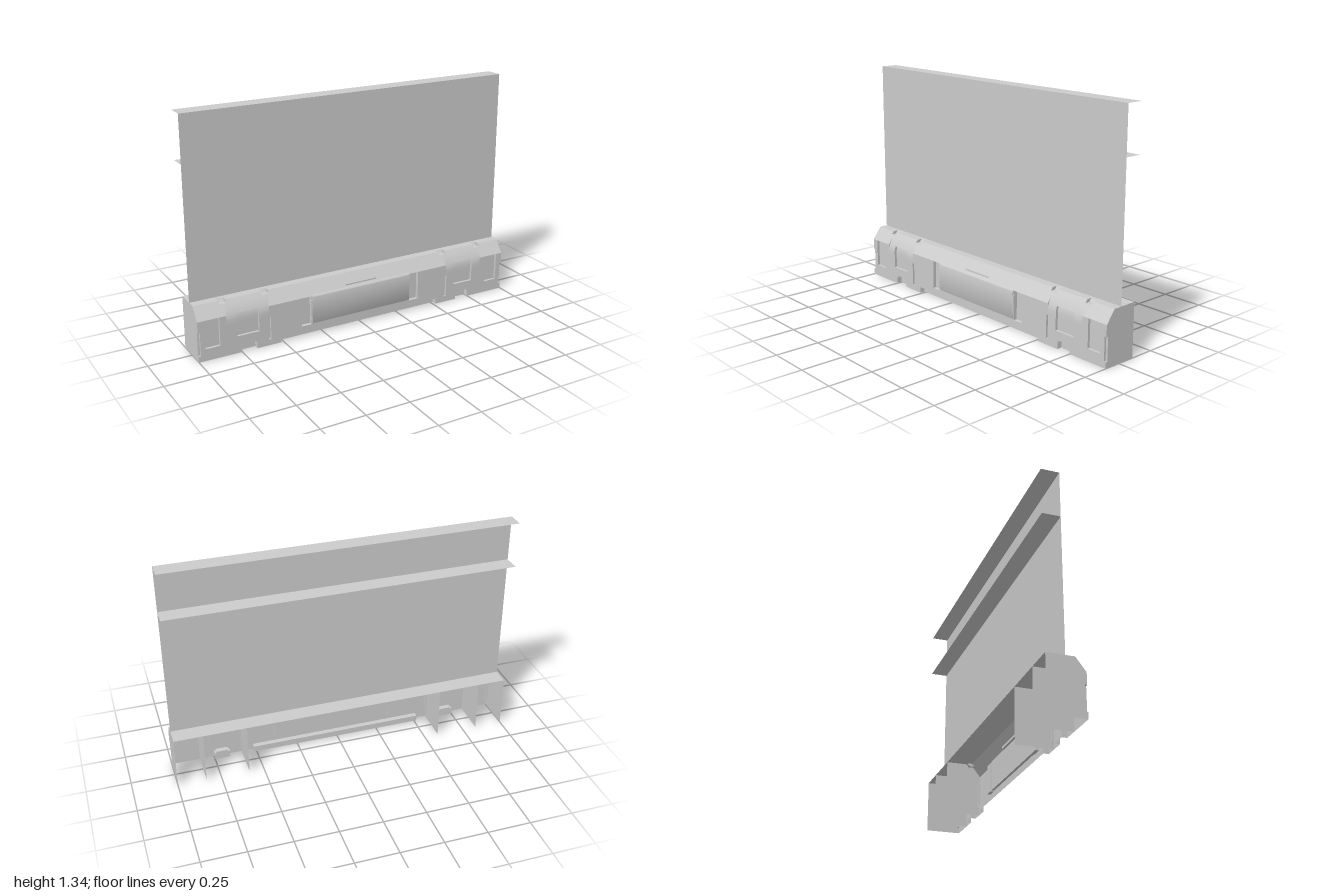
import * as THREE from 'three';
import { toCreasedNormals } from 'three/addons/utils/BufferGeometryUtils.js';

const TOP = 0.307, BACK = -0.105, FRONT = 0.1, WALL = -0.005;
const mat = new THREE.MeshStandardMaterial({ color: 0xcccccc, side: THREE.DoubleSide });

// Insets in the front shell, mirrored in x: [x0, x1, y0, y1, depth]
const insets = [
  [0, 0.515, 0, 0.035, 0.03],          // long kick recess
  [0.66, 0.75, 0, 0.04, 0.03],         // foot notch
  [0.67, 0.74, 0.04, 0.05, 0.03],
  [0.325, 0.385, 0.065, 0.235, 0.02],  // strips beside the hatch
  [0.645, 0.775, 0.1, 0.235, 0.015],   // windows
  [0.875, 0.96, 0.07, 0.235, 0.015],
  [0.575, 0.59, 0.035, 0.17, 0.012],   // thin slots
  [0.988, 1, 0.035, 0.17, 0.012],
  [0.565, 0.605, 0.29, TOP, 0.03],     // clip notches on the top edge
  [0.815, 0.855, 0.29, TOP, 0.03],
];
const BAY = [0.585, 0.835];

function depthAt(x, y) {
  const a = Math.abs(x);
  const hit = insets.find(([x0, x1, y0, y1]) => a > x0 && a < x1 && y > y0 && y < y1);
  return hit ? hit[4] : 0;
}

// Front profile: chamfered, but rounded in the two bays
function frontZ(x, y) {
  const a = Math.abs(x);
  if (a > BAY[0] && a < BAY[1]) return FRONT - 0.055 * Math.pow(Math.max(0, (y - 0.2) / (TOP - 0.2)), 1.7);
  return FRONT - 0.055 * Math.max(0, (y - 0.235) / (TOP - 0.235));
}

// Shell as a grid of cells; neighbouring cells of unequal depth are joined by walls
function shellGeometry() {
  const half = [0, 1, ...BAY, ...insets.flatMap(i => [i[0], i[1]])];
  const xs = [...new Set(half.flatMap(v => [v, v === 0 ? 0 : -v]))].sort((a, b) => a - b);
  const ys = [0, 0.035, 0.04, 0.05, 0.065, 0.07, 0.1, 0.17, 0.2, 0.218, 0.235, 0.253, 0.271, 0.29, TOP];
  const pos = [];
  const quad = (a, b, c, d) => pos.push(...a, ...b, ...c, ...a, ...c, ...d);
  for (let i = 0; i < xs.length - 1; i++) {
    const x0 = xs[i], x1 = xs[i + 1], xm = (x0 + x1) / 2;
    for (let j = 0; j < ys.length - 1; j++) {
      const y0 = ys[j], y1 = ys[j + 1], ym = (y0 + y1) / 2;
      const d = depthAt(xm, ym);
      const z0 = frontZ(xm, y0), z1 = frontZ(xm, y1);
      quad([x0, y0, z0 - d], [x1, y0, z0 - d], [x1, y1, z1 - d], [x0, y1, z1 - d]);
      if (i < xs.length - 2) {
        const e = depthAt((x1 + xs[i + 2]) / 2, ym);
        if (e !== d) quad([x1, y0, z0 - d], [x1, y0, z0 - e], [x1, y1, z1 - e], [x1, y1, z1 - d]);
      }
      if (j < ys.length - 2) {
        const e = depthAt(xm, (y1 + ys[j + 2]) / 2);
        if (e > d) quad([x0, y1, z1 - d], [x1, y1, z1 - d], [x1, y1, z1 - e], [x0, y1, z1 - e]);
        if (e < d) quad([x0, y1, z1 - d], [x0, y1, z1 - e], [x1, y1, z1 - e], [x1, y1, z1 - d]);
      }
    }
    // Top deck cell
    const zf = 0.045 - depthAt(xm, TOP - 0.001);
    quad([x0, TOP, zf], [x1, TOP, zf], [x1, TOP, BACK], [x0, TOP, BACK]);
  }
  const g = new THREE.BufferGeometry();
  g.setAttribute('position', new THREE.Float32BufferAttribute(pos, 3));
  g.computeVertexNormals();
  return toCreasedNormals(g, 0.4);
}

// Upright plate in the zy plane, with optional slot and clip cut-outs
function plateGeometry(slot, clip) {
  const p = [[BACK, 0], [FRONT, 0]];
  if (slot) p.push([FRONT, 0.035], [0.088, 0.035], [0.088, 0.17], [FRONT, 0.17]);
  p.push([FRONT, 0.235]);
  if (clip) p.push([0.058, 0.29], [0.028, 0.29], [0.015, TOP]);
  else p.push([0.045, TOP]);
  p.push([BACK, TOP]);
  const g = new THREE.ShapeGeometry(new THREE.Shape(p.map(([z, y]) => new THREE.Vector2(-z, y))));
  return g.rotateY(Math.PI / 2);
}

export function createModel() {
  const group = new THREE.Group();
  const add = (name, geo, x = 0, y = 0, z = 0) => {
    const m = new THREE.Mesh(geo, mat);
    m.name = name;
    m.position.set(x, y, z);
    group.add(m);
    return m;
  };

  add('baseShell', shellGeometry());

  // Back wall and its two rear ledges
  const height = 1.335 - TOP;
  add('backWall', new THREE.PlaneGeometry(2, height), 0, TOP + height / 2, WALL);
  for (const y of [1.07, 1.335]) {
    const ledge = new THREE.PlaneGeometry(2, WALL - BACK).rotateX(-Math.PI / 2);
    add('rearLedge', ledge, 0, y, (WALL + BACK) / 2);
  }

  // End plates, dividers and hatch grips, mirrored
  for (const s of [-1, 1]) {
    add('endPlate', plateGeometry(true, false), s);
    add('outerDivider', plateGeometry(false, true), s * BAY[1]);
    add('innerDivider', plateGeometry(true, true), s * BAY[0]);
    add('hatchGrip', new THREE.BoxGeometry(0.012, 0.11, 0.018), s * 0.321, 0.155, 0.097);
  }

  // Hatch with a rounded top edge
  const h = new THREE.Shape();
  h.moveTo(-0.085, 0.07);
  h.lineTo(-0.103, 0.07);
  h.lineTo(-0.107, 0.078);
  h.lineTo(-0.107, 0.222);
  h.quadraticCurveTo(-0.107, 0.242, -0.085, 0.243);
  h.closePath();
  const hatch = new THREE.ExtrudeGeometry(h, { depth: 0.64, bevelEnabled: false, curveSegments: 6 });
  hatch.rotateY(Math.PI / 2).translate(-0.32, 0, 0);
  add('hatch', toCreasedNormals(hatch, 0.5));
  add('hatchTab', new THREE.BoxGeometry(0.2, 0.016, 0.018), 0, 0.248, 0.081);
  return group;
}
